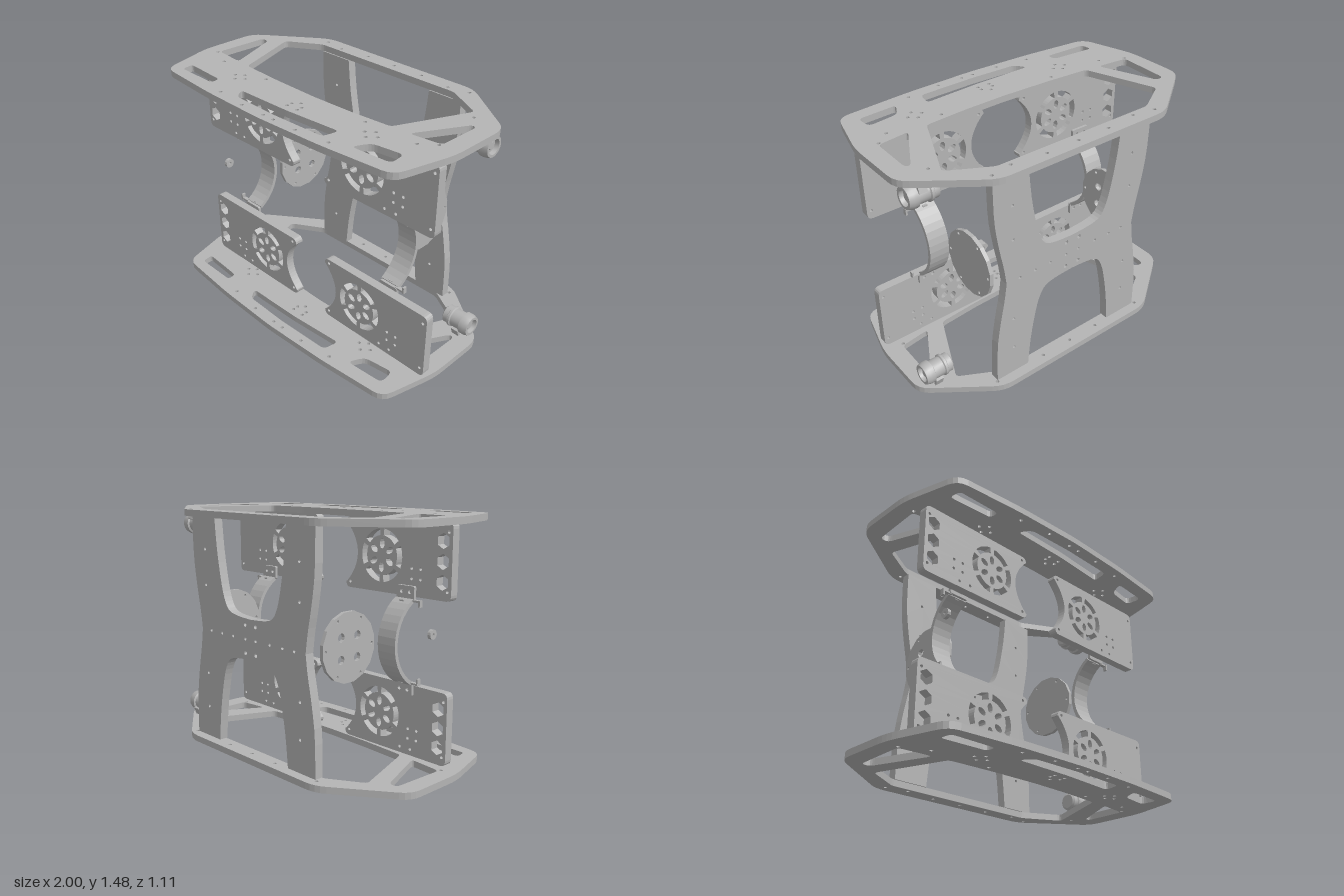
import * as THREE from 'three';
import { toCreasedNormals } from 'three/addons/utils/BufferGeometryUtils.js';

const MID_X = 0.0375, MID_Y = 0.7375, HEIGHT = 1.475, DECK = 0.04;

// closed outline with rounded corners
function poly(points, r = 0.03) {
  const v = points.map(p => new THREE.Vector2(p[0], p[1]));
  const out = [];
  v.forEach((p, i) => {
    const a = v[(i + v.length - 1) % v.length], b = v[(i + 1) % v.length];
    const cut = q => p.clone().lerp(q, Math.min(r / p.distanceTo(q), 0.45));
    if (r === 0) out.push(p);
    else out.push(...new THREE.QuadraticBezierCurve(cut(a), p, cut(b)).getPoints(4));
  });
  return out;
}

function circle(x, y, r, n = 8, start = 0) {
  return Array.from({ length: n }, (_, i) => {
    const a = start + i / n * Math.PI * 2;
    return new THREE.Vector2(x + r * Math.cos(a), y + r * Math.sin(a));
  });
}

// ring sector between two radii
function sector(x, y, r0, r1, a0, a1, n) {
  const pts = [];
  for (const [r, s, e] of [[r1, a0, a1], [r0, a1, a0]])
    for (let i = 0; i <= n; i++) {
      const a = s + (e - s) * i / n;
      pts.push(new THREE.Vector2(x + r * Math.cos(a), y + r * Math.sin(a)));
    }
  return pts;
}

function sheet(outline, holes, depth) {
  const pts = THREE.ShapeUtils.isClockWise(outline) ? outline.slice().reverse() : outline;
  const shape = new THREE.Shape(pts);
  shape.holes = holes.map(h => new THREE.Path(h));
  return new THREE.ExtrudeGeometry(shape, { depth, bevelEnabled: false });
}

export function createModel() {
  const model = new THREE.Group();
  const metal = new THREE.MeshStandardMaterial({ color: 0xb4b4b4 });
  metal.name = 'grey metal';
  const add = (name, geo, x = 0, y = 0, z = 0) => {
    const m = new THREE.Mesh(geo, metal);
    m.name = name;
    m.position.set(x, y, z);
    model.add(m);
    return m;
  };
  const box = (name, w, h, d, x, y, z) => add(name, new THREE.BoxGeometry(w, h, d), x, y, z);

  // top and bottom decks, drawn in x and z
  const flat = (pts, r) => poly(pts.map(([x, z]) => [x, -z]), r);
  const deckOutline = flat([[-0.57, -0.56], [0.59, -0.56], [1, -0.26], [1, 0.14], [0.91, 0.5],
    [0.45, 0.538], [0, 0.553], [-0.45, 0.538], [-0.9, 0.5], [-1, 0.14], [-1, -0.25]], 0.07);
  const deckHoles = [
    flat([[-0.53, -0.45], [0.53, -0.45], [0.77, -0.32], [0.57, 0.13], [0.3, 0.15], [0.03, 0.157],
      [-0.3, 0.148], [-0.59, 0.13], [-0.745, -0.32]], 0.025),
    flat([[-0.885, -0.24], [-0.83, -0.24], [-0.69, 0.12], [-0.9, 0.1]], 0.03),
    flat([[0.86, -0.18], [0.89, -0.17], [0.885, 0.1], [0.69, 0.125]], 0.03),
    flat([[-0.84, 0.36], [-0.55, 0.38], [-0.545, 0.44], [-0.83, 0.435]], 0.025),
    flat([[-0.33, 0.39], [0.05, 0.385], [0.42, 0.36], [0.4, 0.46], [0.03, 0.47], [-0.28, 0.46]], 0.03),
    flat([[0.63, 0.34], [0.82, 0.315], [0.83, 0.42], [0.58, 0.437]], 0.035)
  ];
  const deckScrews = [[-0.535, -0.505], [-0.39, -0.48], [-0.18, -0.505], [0.035, -0.505], [0.25, -0.505],
    [0.465, -0.48], [0.6, -0.505], [0.81, -0.26], [0.875, 0.115], [-0.905, 0.115], [-0.75, 0.185],
    [-0.355, 0.185], [0.44, 0.185], [0.79, 0.185], [-0.18, 0.51], [0, 0.51], [0.08, 0.51], [0.25, 0.51],
    [-0.4, 0.485], [0.47, 0.485], [0, 0.305], [0.08, 0.305], [0, 0.34], [0.08, 0.34], [0.035, 0.27]];
  for (const x of [-0.49, 0.56])
    for (const [dx, dz] of [[0, 0.235], [0, 0.31], [-0.045, 0.27], [0.045, 0.27]]) deckScrews.push([x + dx, dz]);
  for (const [x, z] of deckScrews) deckHoles.push(circle(x, -z, 0.011));
  const deck = sheet(deckOutline, deckHoles, DECK).rotateX(-Math.PI / 2);
  add('bottomDeck', deck);
  add('topDeck', deck, 0, HEIGHT - DECK, 0);

  // front plates with fan cut-outs, drawn outward from the middle
  for (const side of [-1, 1]) {
    const w = p => p.map(v => new THREE.Vector2(v.x * side, v.y));
    const arc = new THREE.QuadraticBezierCurve(new THREE.Vector2(0.137, -0.18),
      new THREE.Vector2(0.313, 0), new THREE.Vector2(0.137, 0.18)).getPoints(16);
    const outer = poly([[0.13, 0.2175], [0.9325, 0.2175], [0.9325, -0.2175], [0.13, -0.2175]], 0.035);
    const holes = [];
    for (let i = 0; i < 6; i++) {
      const a = i * Math.PI / 3;
      holes.push(sector(0.42, 0, 0.118, 0.158, a - 0.42, a + 0.42, 6));
      const c = [0.42 + 0.07 * Math.cos(a + 0.5), 0.07 * Math.sin(a + 0.5)];
      const s = circle(0, 0, 1, 10).map(p => new THREE.Vector2(p.x * 0.03, p.y * 0.019)
        .rotateAround(new THREE.Vector2(), a + 0.5).add(new THREE.Vector2(...c)));
      holes.push(s);
    }
    for (const [x, y] of [[0.165, 0.19], [0.165, -0.18], [0.905, 0.165], [0.905, -0.165], [0.59, -0.18],
      [0.67, -0.18], [0.65, -0.055], [0.715, -0.055], [0.65, -0.115], [0.715, -0.115]])
      holes.push(circle(x, y, 0.01));
    if (side < 0) for (const y of [-0.115, 0, 0.115])
      holes.push(circle(0.87, y, 0.045, 6, Math.PI / 6));
    const geo = sheet(w([...outer, ...arc]), holes.map(w), 0.055);
    for (const [name, y] of [['lower', 0.2575], ['upper', 1.2175]])
      add(`${name}FrontPlate`, geo, MID_X, y, 0.165);
  }

  // X-shaped back plate, one quarter mirrored around its centre
  const quarter = new THREE.SplineCurve([[0.478, 0], [0.495, 0.12], [0.523, 0.26], [0.55, 0.45], [0.555, 0.6975]]
    .map(p => new THREE.Vector2(...p))).getPoints(10);
  const inner = new THREE.SplineCurve([[0.325, 0.6975], [0.305, 0.5], [0.268, 0.3], [0.235, 0.2],
    [0.195, 0.15], [0.12, 0.13], [0, 0.122]].map(p => new THREE.Vector2(...p))).getPoints(18);
  const q = [...quarter, ...inner];
  const flip = (sx, sy) => q.map(p => new THREE.Vector2(p.x * sx, p.y * sy));
  const loop = [...flip(1, 1), ...flip(-1, 1).reverse().slice(1), ...flip(-1, -1).slice(1),
    ...flip(1, -1).reverse().slice(1, -1)];
  const backHoles = [-0.385, -0.285, -0.175, -0.0475, 0.0475, 0.165, 0.275, 0.385].map(x => circle(x, 0, 0.01));
  for (const x of [-0.0475, 0.0475]) for (const y of [-0.085, 0.085]) backHoles.push(circle(x, y, 0.013));
  for (const x of [-0.43, 0.43]) for (const y of [-0.5, -0.28, 0.28, 0.5]) backHoles.push(circle(x, y, 0.01));
  add('backPlate', sheet(loop, backHoles, 0.056), MID_X, MID_Y, -0.498);

  // round side discs, one with four large holes
  const disc = (big) => {
    const holes = Array.from({ length: 6 }, (_, i) =>
      circle(0.182 * Math.cos(i * Math.PI / 3), 0.182 * Math.sin(i * Math.PI / 3), 0.009));
    if (big) for (const p of circle(0, 0, 0.09, 4, Math.PI / 4)) holes.push(circle(p.x, p.y, 0.026, 10));
    return sheet(circle(0, 0, 0.207, 16, Math.PI / 16), holes, 0.024).rotateY(Math.PI / 2);
  };
  add('rightDisc', disc(true), -0.5, 0.742, -0.222);
  add('leftDisc', disc(false), 0.55, 0.742, -0.222);

  // curved straps with mounting tabs and hooks
  const strap = sheet(sector(-0.283, 0, 0.27, 0.293, -1.05, 1.05, 14), [], 0.13).rotateY(Math.PI / 2);
  const tab = sheet(poly([[0, 0], [0.13, 0], [0.13, 0.085], [0, 0.085]], 0.01),
    [circle(0.035, 0.05, 0.012), circle(0.095, 0.05, 0.012)], 0.018);
  for (const [x, side] of [[-0.65, -1], [0.567, 1]]) {
    add('strap', strap, x, MID_Y, 0);
    const edge = side < 0 ? x : x + 0.13;
    for (const s of [-1, 1]) {
      const t = add('strapTab', tab, x, MID_Y + s * 0.24, 0.147);
      if (s < 0) { t.rotation.z = Math.PI; t.position.x = x + 0.13; }
      box('strapHook', 0.07, 0.012, 0.025, edge + side * 0.015, MID_Y + s * 0.243, 0.147);
      box('strapHookTip', 0.012, 0.04, 0.025, edge + side * 0.045, MID_Y + s * 0.23, 0.15);
      box('strapPin', 0.03, 0.02, 0.03, x + 0.065, MID_Y + s * 0.237, 0.128);
    }
  }

  // small loose nut
  add('nut', sheet(circle(0, 0, 0.03, 12), [circle(0, 0, 0.009)], 0.022).rotateY(Math.PI / 2), -0.736, 0.785, 0.226);

  // stepped sensor barrels under and over the decks
  const profile = [[0, 0.77], [0.045, 0.77], [0.058, 0.78], [0.058, 0.81], [0.066, 0.815], [0.066, 0.83],
    [0.058, 0.835], [0.058, 0.9], [0.07, 0.905], [0.07, 0.935], [0.062, 0.96], [0.046, 0.96],
    [0.042, 0.935], [0.025, 0.935], [0.022, 0.945], [0, 0.945]].map(p => new THREE.Vector2(...p));
  const barrel = toCreasedNormals(new THREE.LatheGeometry(profile, 20).rotateZ(-Math.PI / 2), 0.5);
  for (const [y, s] of [[0.122, -1], [1.358, 1]]) {
    add('sensorBarrel', barrel, 0, y, -0.255);
    for (const dz of [-0.052, 0.052]) {
      const ear = box('barrelClip', 0.05, 0.05, 0.016, 0.88, y + s * 0.055, -0.255 + dz);
      ear.rotation.x = -s * Math.sign(dz) * 0.35;
    }
  }
  return model;
}
